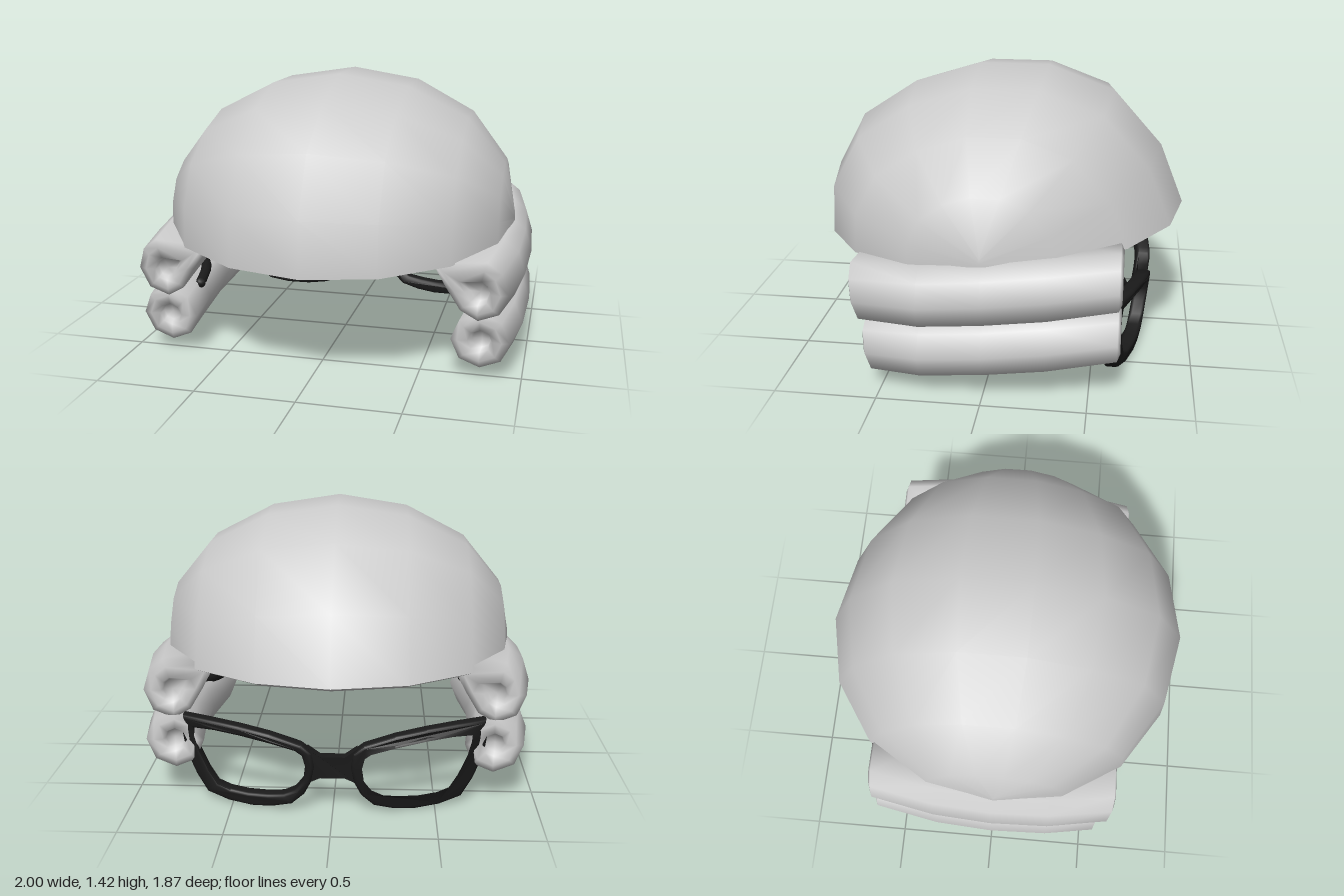
import * as THREE from 'three';
import { mergeVertices, mergeGeometries, toCreasedNormals } from 'three/addons/utils/BufferGeometryUtils.js';

const hairMat = new THREE.MeshStandardMaterial({ color: 0xcccccc, side: THREE.DoubleSide });
hairMat.name = 'hair grey';
const frameMat = new THREE.MeshStandardMaterial({ color: 0x1b1b1b });
frameMat.name = 'frame black';

// Surface through rows of [x, y, z] points
function loft(rows) {
  const n = rows[0].length, index = [];
  for (let i = 0; i < rows.length - 1; i++) {
    for (let j = 0; j < n - 1; j++) {
      const a = i * n + j, b = a + 1, c = a + n, d = c + 1;
      index.push(a, c, b, b, c, d);
    }
  }
  let geo = new THREE.BufferGeometry();
  geo.setAttribute('position', new THREE.Float32BufferAttribute(rows.flat(2), 3));
  geo.setIndex(index);
  geo = mergeVertices(geo, 1e-4);
  geo.computeVertexNormals();
  return geo;
}

// Domed cap: half rings around the x axis, as an outer and inner skin joined by a rim
function createCap() {
  const profile = [[0.57, 0.935], [0.84, 0.92], [1.12, 0.77], [1.31, 0.48], [1.415, 0.14],
    [1.415, -0.22], [1.29, -0.56], [1.01, -0.81], [0.7, -0.935]];
  const halfWidths = [0, 0.355, 0.66, 0.85, 0.908];
  const cz = 0.01;
  const skin = (s) => Array.from({ length: 9 }, (_, i) => {
    const k = i - 4, c = Math.cos(k * Math.PI / 8) * s;
    const x = Math.sign(k) * halfWidths[Math.abs(k)] * s;
    return profile.map(([y, z], j) => {
      const cy = 0.665 + 0.04 * Math.sin(j * Math.PI / 8);
      return [x, cy + (y - cy) * c, cz + (z - cz) * c];
    });
  });
  const outer = skin(1), inner = skin(0.93);
  // the inner lip dips slightly below the outer edge
  for (const row of inner) {
    row[0][1] -= 0.015;
    row[8][1] -= 0.03;
  }
  const edge = (a, b, j) => loft([a.map((r) => r[j]), b.map((r) => r[j])]);
  const flipped = inner.map((r) => [...r].reverse());
  return mergeGeometries([loft(outer), loft(flipped), edge(inner, outer, 8), edge(outer, inner, 0)]);
}

// Bowed roll of hair running front to back, with a dimple in each end
function createRoll(section, cy, front) {
  const back = -0.645;
  const stations = [
    [0, front - 0.06], [0.32, front - 0.05], [0.42, front - 0.01], [0.75, front], [1, front - 0.015],
    [1.06, 0.3], [1.06, 0], [1.06, -0.3],
    [1, back + 0.015], [0.75, back], [0.42, back + 0.01], [0.32, back + 0.05], [0, back + 0.06],
  ];
  const ring = [...section, section[0]];
  return loft(stations.map(([s, z]) => {
    const cx = 0.782 + 0.067 * (1 - (z / 0.64) ** 2);
    const y0 = cy + Math.max(0, 0.4 - z) * 0.11;
    return ring.map(([x, y]) => [cx + x * s, y0 + y * s, z + (z > 0.4 ? y * s * 0.15 : 0)]);
  }));
}

// Wrap the frame around the face and lean it a little
function bend(geo) {
  const p = geo.attributes.position;
  for (let i = 0; i < p.count; i++) {
    const x = p.getX(i), y = p.getY(i);
    p.setZ(i, p.getZ(i) - 0.74 + 0.3 * x * x - 0.1 * (y - 0.2));
  }
  return toCreasedNormals(geo, 0.9);
}

function createRim(side) {
  const pts = (list) => list.map(([x, y]) => new THREE.Vector2(x * side, y));
  const shape = new THREE.Shape(pts([
    [0.74, 0.44], [0.6, 0.437], [0.45, 0.425], [0.3, 0.4], [0.15, 0.355], [0.1, 0.315], [0.09, 0.24],
    [0.105, 0.16], [0.14, 0.09], [0.2, 0.033], [0.3, 0.008], [0.4, 0], [0.52, 0.01],
    [0.63, 0.04], [0.685, 0.13], [0.735, 0.25], [0.75, 0.36]]));
  shape.holes.push(new THREE.Path(pts([
    [0.685, 0.385], [0.58, 0.39], [0.45, 0.38], [0.3, 0.355], [0.18, 0.325], [0.145, 0.3], [0.13, 0.24],
    [0.14, 0.165], [0.18, 0.11], [0.24, 0.078], [0.32, 0.067], [0.42, 0.063], [0.51, 0.07],
    [0.575, 0.09], [0.62, 0.16], [0.665, 0.26], [0.685, 0.34]])));
  const geo = new THREE.ExtrudeGeometry(shape, {
    depth: 0.044, bevelEnabled: true, bevelThickness: 0.016, bevelSize: 0.014, bevelOffset: -0.012, bevelSegments: 2,
  });
  geo.translate(0, 0, -0.022);
  return bend(geo);
}

function add(parent, name, geo, mat) {
  const mesh = new THREE.Mesh(geo, mat);
  mesh.name = name;
  parent.add(mesh);
  return mesh;
}

export function createModel() {
  const model = new THREE.Group();
  model.name = 'wigAndGlasses';

  const wig = new THREE.Group();
  wig.name = 'wig';
  add(wig, 'cap', createCap(), hairMat);

  // Side rolls; the upper one has a web reaching in under the cap
  const lower = Array.from({ length: 8 }, (_, i) => {
    const a = (i / 8) * Math.PI * 2;
    return [0.143 * Math.cos(a), 0.145 * Math.sin(a)];
  });
  const upper = [[0.143, 0.005], [0.11, 0.11], [0.04, 0.165], [-0.215, 0.145],
    [-0.15, 0.02], [-0.085, -0.09], [0, -0.14], [0.1, -0.1]];
  const glasses = new THREE.Group();
  glasses.name = 'glasses';

  for (const side of [1, -1]) {
    const label = side > 0 ? 'left' : 'right';
    const up = createRoll(upper, 0.455, 0.63), low = createRoll(lower, 0.2, 0.575);
    add(wig, label + 'UpperRoll', up, hairMat).scale.x = side;
    add(wig, label + 'LowerRoll', low, hairMat).scale.x = side;

    add(glasses, label + 'Rim', createRim(side), frameMat);
    // Temple arm buried between the rolls, its tip curving out on the inner side
    const path = new THREE.CatmullRomCurve3([[0.71, 0.36, -0.6], [0.8, 0.4, -0.42], [0.83, 0.37, 0],
      [0.74, 0.34, 0.2], [0.71, 0.31, 0.36]].map(([x, y, z]) => new THREE.Vector3(x * side, y, z)));
    add(glasses, label + 'Arm', new THREE.TubeGeometry(path, 16, 0.028, 8), frameMat);
    const tip = add(glasses, label + 'ArmTip', new THREE.SphereGeometry(0.028, 8, 6), frameMat);
    tip.position.set(0.71 * side, 0.31, 0.36);
  }

  // Bridge with a narrower waist
  const bridgeShape = new THREE.Shape([[0.12, 0.34], [0.06, 0.295], [-0.06, 0.295], [-0.12, 0.34],
    [-0.12, 0.15], [-0.06, 0.18], [0.06, 0.18], [0.12, 0.15]].map(([x, y]) => new THREE.Vector2(x, y)));
  const bridge = new THREE.ExtrudeGeometry(bridgeShape, { depth: 0.05, bevelEnabled: false });
  bridge.translate(0, 0, -0.025);
  add(glasses, 'bridge', bend(bridge), frameMat);

  model.add(wig, glasses);
  return model;
}
